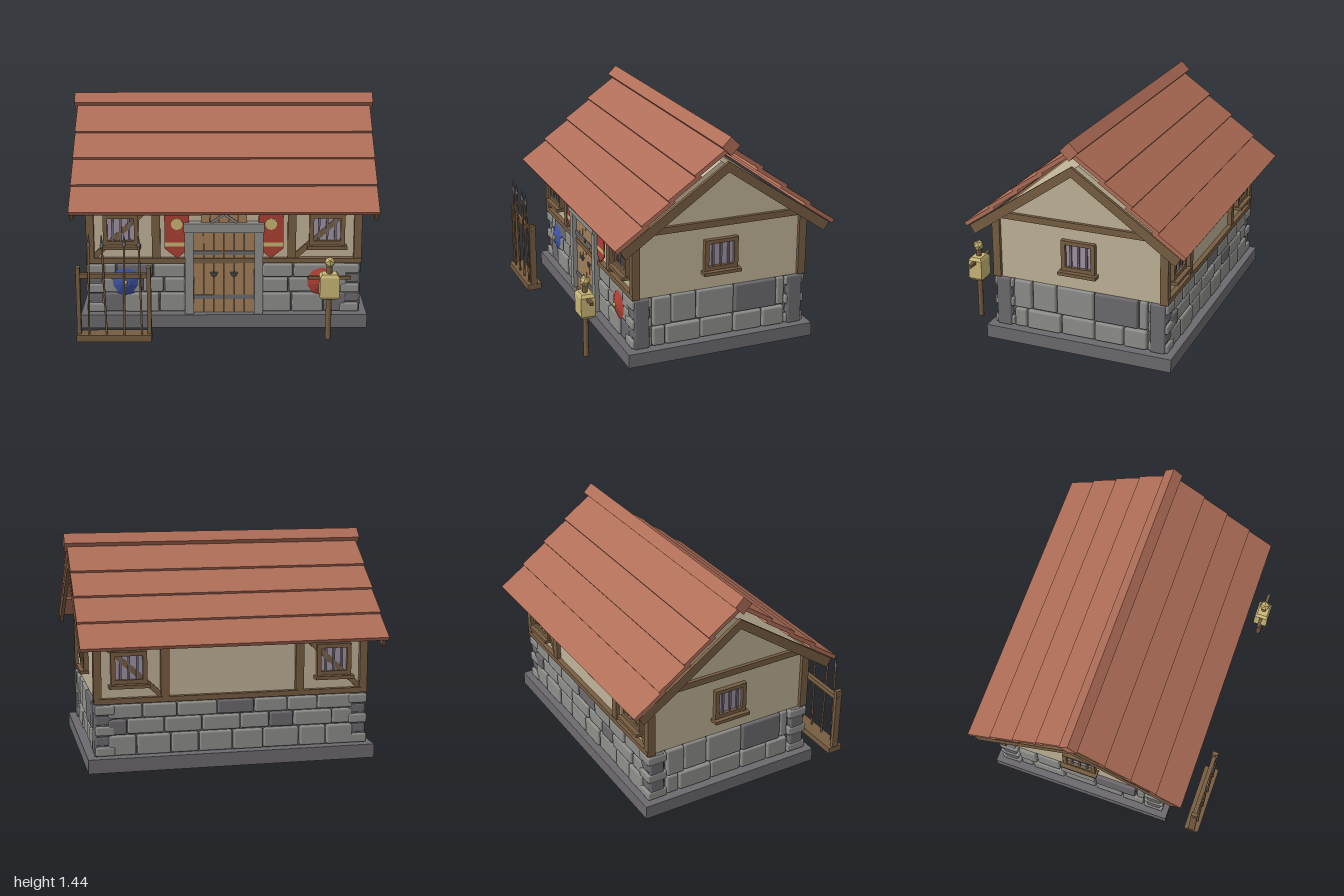
import * as THREE from 'three';
import { RoundedBoxGeometry } from 'three/addons/geometries/RoundedBoxGeometry.js';

const paint = (name, color) => Object.assign(new THREE.MeshStandardMaterial({ color }), { name });
const M = {
  roof: paint('clay tile', 0xb06e58), timber: paint('dark timber', 0x775d42),
  plank: paint('door wood', 0xa27f5a), plaster: paint('plaster', 0xc0b398),
  stone: paint('light stone', 0x8e8f8b), dark: paint('dark stone and iron', 0x6c6a6e),
  red: paint('red cloth', 0xac3f34), blue: paint('blue paint', 0x3e54a4),
  gold: paint('straw gold', 0xc9b676), glass: paint('window glass', 0xa292a6),
};
M.blue.flatShading = M.red.flatShading = M.gold.flatShading = true;

function add(parent, name, geo, mat, x = 0, y = 0, z = 0) {
  const m = new THREE.Mesh(geo, mat);
  m.name = name;
  m.position.set(x, y, z);
  parent.add(m);
  return m;
}
// box given by its limits on each axis
const box = (p, name, mat, x0, x1, y0, y1, z0, z1) =>
  add(p, name, new THREE.BoxGeometry(x1 - x0, y1 - y0, z1 - z0), mat, (x0 + x1) / 2, (y0 + y1) / 2, (z0 + z1) / 2);
const block = (p, name, mat, x0, x1, y0, y1, z0, z1) =>
  add(p, name, new RoundedBoxGeometry(x1 - x0, y1 - y0, z1 - z0, 1, 0.012), mat, (x0 + x1) / 2, (y0 + y1) / 2, (z0 + z1) / 2);
// bar between two points of a wall plane
function bar(p, name, mat, a, b, w, d, z) {
  const m = add(p, name, new THREE.BoxGeometry(Math.hypot(b[0] - a[0], b[1] - a[1]), w, d), mat, (a[0] + b[0]) / 2, (a[1] + b[1]) / 2, z);
  m.rotation.z = Math.atan2(b[1] - a[1], b[0] - a[0]);
  return m;
}
const polygon = pts => new THREE.Shape(pts.map(p => new THREE.Vector2(...p)));
const extrude = (shape, depth) => new THREE.ExtrudeGeometry(shape, { depth, bevelEnabled: false });
function group(parent, name, x = 0, y = 0, z = 0, ry = 0) {
  const g = new THREE.Group();
  g.name = name;
  g.position.set(x, y, z);
  g.rotation.y = ry;
  parent.add(g);
  return g;
}

// barred window on a wall plane whose outside faces local +z
function windowUnit(wall, x, z) {
  const g = group(wall, 'window', x, 0.655, z);
  box(g, 'glass', M.glass, -0.09, 0.09, -0.08, 0.08, -0.01, 0.008);
  for (const s of [-1, 1]) {
    box(g, 'frameSide', M.timber, s * 0.1 - 0.014, s * 0.1 + 0.014, -0.105, 0.102, -0.01, 0.03);
    box(g, 'frameRail', M.timber, -0.09, 0.09, s * 0.088 - 0.013, s * 0.088 + 0.013, -0.01, 0.03);
  }
  for (const bx of [-0.053, 0, 0.053]) box(g, 'ironBar', M.dark, bx - 0.007, bx + 0.007, -0.08, 0.08, 0.008, 0.02);
  box(g, 'sill', M.timber, -0.128, 0.128, -0.126, -0.104, -0.01, 0.057);
}

// rows of stones; each course is [bottom, top, joints, indices of dark stones]
function masonry(wall, z, courses) {
  for (const [y0, y1, joints, darks] of courses)
    for (let i = 0; i + 1 < joints.length; i++) {
      const out = z + 0.024 + 0.008 * ((i * 7 + Math.round(y0 * 100)) % 3) / 2;
      block(wall, 'wallStone', darks.includes(i) ? M.dark : M.stone, joints[i] + 0.004, joints[i + 1] - 0.004, y0, y1, z - 0.02, out);
    }
}

// timber framing of a long wall
function longWall(house, name, ry, dir) {
  const w = group(house, name, 0, 0, 0, ry);
  box(w, 'sillBeam', M.timber, -0.885, 0.885, 0.43, 0.463, 0.55, 0.598);
  box(w, 'topBeam', M.timber, -0.885, 0.885, 0.825, 0.865, 0.55, 0.59);
  for (const s of [-1, 1]) {
    box(w, 'wallPost', M.timber, s * 0.438 - 0.027, s * 0.438 + 0.027, 0.46, 0.83, 0.55, 0.593);
    bar(w, 'brace', M.timber, [s * 0.65 - 0.2, 0.645 - dir * 0.185], [s * 0.65 + 0.2, 0.645 + dir * 0.185], 0.035, 0.03, 0.567);
    windowUnit(w, s * 0.665, 0.568);
  }
  return w;
}

function buildFront(w) {
  for (const s of [-1, 1]) {
    // door posts and banners
    box(w, 'doorPost', M.stone, s * 0.225 - 0.028, s * 0.225 + 0.028, 0.09, 0.65, 0.54, 0.62);
    const b = group(w, 'banner', s * 0.303, 0, 0.59);
    box(b, 'cloth', M.red, -0.08, 0.08, 0.57, 0.83, 0, 0.008);
    box(b, 'goldStripe', M.gold, -0.08, 0.08, 0.545, 0.57, 0, 0.009);
    add(b, 'clothTip', extrude(polygon([[-0.08, 0.545], [-0.08, 0.53], [0, 0.465], [0.08, 0.53], [0.08, 0.545]]), 0.008), M.red);
    add(b, 'emblem', new THREE.CylinderGeometry(0.038, 0.038, 0.008, 16).rotateX(Math.PI / 2), M.gold, 0, 0.695, 0.009);
    // door leaves with planks and handles
    for (let i = 0; i < 3; i++)
      box(w, 'doorPlank', M.plank, s * (0.033 + i * 0.066) - 0.0315, s * (0.033 + i * 0.066) + 0.0315, 0.09, 0.65, 0.55, 0.59);
    for (const y of [0.2, 0.5]) box(w, 'hingeStrap', M.dark, s * 0.102 - 0.094, s * 0.102 + 0.094, y - 0.014, y + 0.014, 0.58, 0.598);
    add(w, 'handle', new THREE.TorusGeometry(0.015, 0.004, 5, 10), M.dark, s * 0.065, 0.355, 0.597);
    bar(w, 'handlePlate', M.dark, [s * 0.04, 0.362], [s * 0.09, 0.362], 0.01, 0.01, 0.594);
    // crossed blades over the lintel
    bar(w, 'crossedBlade', M.stone, [-s * 0.085, 0.705], [s * 0.085, 0.82], 0.014, 0.01, 0.607 + s * 0.005);
  }
  box(w, 'doorBacking', M.timber, -0.2, 0.2, 0.09, 0.65, 0.54, 0.575);
  box(w, 'lintel', M.stone, -0.258, 0.258, 0.645, 0.706, 0.54, 0.63);
  for (let i = -2; i <= 2; i++) box(w, 'overDoorPlank', M.plank, i * 0.06 - 0.0285, i * 0.06 + 0.0285, 0.7, 0.85, 0.55, 0.597);
  // round shields hung on the stonework
  for (const [x, mat] of [[-0.64, M.blue], [0.635, M.red]]) {
    const g = group(w, 'shield', x, 0.305, 0.605);
    add(g, 'shieldFace', new THREE.CylinderGeometry(0.03, 0.096, 0.025, 10).rotateX(Math.PI / 2), mat);
    add(g, 'shieldBoss', new THREE.SphereGeometry(0.016, 8, 6), M.gold, 0, 0, 0.014);
  }
}

function buildRoof(house) {
  const tilt = Math.atan(0.687), len = 0.25, t = 0.026;
  for (const ry of [0, Math.PI]) {
    const side = group(house, 'roofSlope', 0, 0, 0, ry);
    for (let i = 0; i < 4; i++) {
      // hinge each row at its lower upper corner
      const geo = new THREE.BoxGeometry(1.964, t, len).translate(0, -t / 2, -len / 2).rotateX(tilt);
      add(side, 'tileRow', geo, M.roof, 0, 0.812 + i * 0.137, 0.74 - i * 0.17);
    }
  }
  add(house, 'ridge', new THREE.BoxGeometry(2, 0.084, 0.084).rotateX(Math.PI / 4), M.roof, 0, 1.383, 0);
  const chevron = polygon([[0, 1.28], [-0.705, 0.8], [-0.67, 0.745], [0, 1.215], [0.67, 0.745], [0.705, 0.8]]);
  for (const s of [-1, 1])
    add(house, 'gableRafters', extrude(chevron, 0.024).rotateY(Math.PI / 2), M.timber, s * 0.967 - 0.012, 0, 0);
}

function buildRack(root) {
  const g = group(root, 'spearRack', -0.697, 0, 0.76);
  box(g, 'rackBase', M.timber, -0.238, 0.238, 0, 0.042, -0.052, 0.05);
  box(g, 'rackRail', M.timber, -0.238, 0.238, 0.41, 0.442, -0.015, 0.012);
  for (const s of [-1, 1]) box(g, 'rackPost', M.timber, s * 0.223 - 0.013, s * 0.223 + 0.013, 0.04, 0.485, -0.022, 0.022);
  for (let i = 0; i < 4; i++) {
    const s = group(g, 'spear', -0.16 + i * 0.112, 0.04, 0.022);
    s.rotation.z = [-0.02, 0.03, -0.015, 0.02][i];
    add(s, 'shaft', new THREE.CylinderGeometry(0.007, 0.007, 0.6, 6), M.timber, 0, 0.3, 0);
    add(s, 'spearHead', new THREE.ConeGeometry(0.013, 0.08, 4), M.dark, 0, 0.63, 0);
  }
}

function buildDummy(root) {
  const g = group(root, 'trainingDummy', 0.663, 0, 0.755);
  add(g, 'post', new THREE.CylinderGeometry(0.018, 0.018, 0.5, 8), M.timber, 0, 0.25, 0);
  box(g, 'arms', M.timber, -0.135, 0.135, 0.4, 0.42, -0.01, 0.01);
  // straw body with chamfered ends
  for (const [r0, r1, y0, y1] of [[0.047, 0.062, 0.275, 0.295], [0.062, 0.062, 0.295, 0.42], [0.062, 0.047, 0.42, 0.44]]) {
    const k = Math.SQRT2;
    const geo = new THREE.CylinderGeometry(r1 * k, r0 * k, y1 - y0, 4).rotateY(Math.PI / 4).scale(1, 1, 0.76);
    add(g, 'strawBody', geo, M.gold, 0, (y0 + y1) / 2, 0);
  }
  add(g, 'head', new THREE.IcosahedronGeometry(0.037, 0), M.gold, 0, 0.512, 0);
}

export function createModel() {
  const root = new THREE.Group();
  root.name = 'guardHouse';
  const house = group(root, 'house', 0, 0, -0.07);
  box(house, 'foundation', M.dark, -0.932, 0.932, 0, 0.09, -0.637, 0.637);
  box(house, 'stoneCore', M.dark, -0.855, 0.855, 0.09, 0.43, -0.565, 0.565);
  // plaster walls with both gables
  const gable = polygon([[-0.565, 0.425], [0.565, 0.425], [0.565, 0.865], [0, 1.25], [-0.565, 0.865]]);
  add(house, 'plasterWalls', extrude(gable, 1.73).rotateY(Math.PI / 2), M.plaster, -0.865, 0, 0);

  // long walls
  const front = longWall(house, 'frontWall', 0, 1);
  const back = longWall(house, 'backWall', Math.PI, -1);
  buildFront(front);
  masonry(front, 0.565, [
    [0.095, 0.222, [-0.8, -0.65, -0.42, -0.25], [0]], [0.095, 0.222, [0.25, 0.44, 0.65, 0.8], [2]],
    [0.23, 0.325, [-0.8, -0.53, -0.39, -0.25], []], [0.23, 0.325, [0.25, 0.42, 0.66, 0.8], []],
    [0.332, 0.42, [-0.8, -0.7, -0.46, -0.25], [1]], [0.332, 0.42, [0.25, 0.45, 0.7, 0.8], []],
  ]);
  masonry(back, 0.565, [
    [0.095, 0.222, [-0.8, -0.62, -0.4, -0.22, 0, 0.2, 0.44, 0.62, 0.8], []],
    [0.23, 0.325, [-0.8, -0.68, -0.44, -0.2, 0.05, 0.24, 0.4, 0.66, 0.8], [0, 5]],
    [0.332, 0.42, [-0.8, -0.58, -0.36, -0.1, 0.14, 0.36, 0.56, 0.8], [3]],
  ]);

  // gable walls and corners
  for (const s of [-1, 1]) {
    const w = group(house, 'gableWall', 0, 0, 0, s * Math.PI / 2);
    box(w, 'tieBeam', M.timber, -0.58, 0.58, 0.838, 0.88, 0.85, 0.888);
    windowUnit(w, 0, 0.866);
    masonry(w, 0.855, [
      [0.095, 0.222, [-0.46, -0.37, -0.13, 0.1, 0.3, 0.46], []],
      [0.232, 0.423, [-0.46, -0.33, -0.16, 0.1, 0.4, 0.46], [3]],
    ]);
    for (const c of [-1, 1]) {
      box(house, 'cornerPost', M.timber, s * 0.864 - 0.025, s * 0.864 + 0.025, 0.43, 0.85, c * 0.57 - 0.026, c * 0.57 + 0.026);
      block(house, 'cornerPillar', M.dark, s * 0.83 - 0.058, s * 0.83 + 0.058, 0.09, 0.425, c * 0.53 - 0.05, c * 0.53 + 0.05);
      // quoins alternate in reach along the two walls
      for (let i = 0; i < 5; i++) {
        const long = i % 2 ? 0.055 : 0.068, y = 0.095 + i * 0.066;
        block(house, 'quoin', i % 2 ? M.dark : M.stone, s * 0.825 - long, s * 0.825 + 0.055, y, y + 0.06, c * 0.53 - long, c * 0.53 + long);
      }
    }
  }
  buildRoof(house);
  buildRack(root);
  buildDummy(root);
  return root;
}
